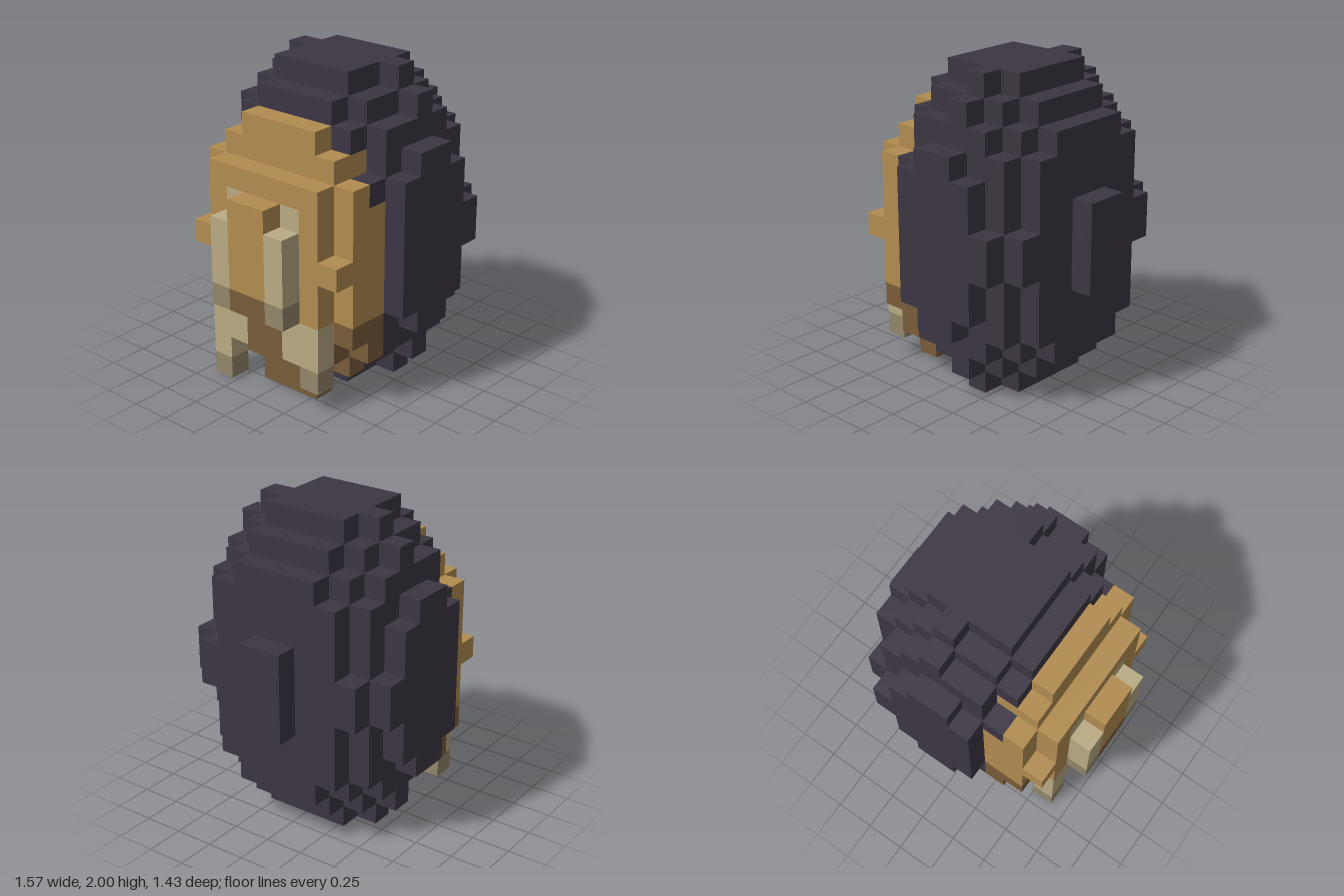
import * as THREE from 'three';

const U = 1 / 7; // one block

export function createModel() {
  const model = new THREE.Group();
  model.name = 'blockHead';
  const mat = (name, color) => {
    const m = new THREE.MeshStandardMaterial({ color });
    m.name = name;
    return m;
  };
  const dark = mat('darkHair', 0x3c3643);
  const tan = mat('tanSkin', 0xb28c50);
  const brown = mat('brownBeard', 0x7a5d3a);
  const khaki = mat('khakiTears', 0xbaab84);
  const dim = mat('dimKhaki', 0x93876a);

  // Box between two corners, measured in blocks
  const box = (name, m, x0, x1, y0, y1, z0, z1) => {
    const g = new THREE.BoxGeometry((x1 - x0) * U, (y1 - y0) * U, (z1 - z0) * U);
    const mesh = new THREE.Mesh(g, m);
    mesh.name = name;
    mesh.position.set((x0 + x1) / 2 * U, (y0 + y1) / 2 * U, (z0 + z1) / 2 * U);
    model.add(mesh);
  };
  // Box centred on z, and a pair mirrored across z
  const mid = (name, m, x0, x1, y0, y1, z) => box(name, m, x0, x1, y0, y1, -z, z);
  const pair = (name, m, x0, x1, y0, y1, z0, z1) => {
    box(name, m, x0, x1, y0, y1, z0, z1);
    box(name, m, x0, x1, y0, y1, -z1, -z0);
  };

  // Stepped round hair shell: [xMin, xMax, half height about y = 7, half depth]
  [
    [-1.5, 2.5, 7, 2], [0.5, 1.5, 7, 3],
    [-1.5, 3.5, 6, 2], [-1.5, 2.5, 6, 3], [0.5, 1.5, 6, 4],
    [-1.5, 4.5, 5, 2], [-1.5, 3.5, 5, 3], [-1.5, 2.5, 5, 4],
    [-1.5, 4.5, 4, 3], [-1.5, 3.5, 4, 4], [-0.5, 1.5, 4, 5],
    [-1.5, 2.5, 3, 5], [-1.5, 4.5, 1, 4], [-1.5, 3.5, 1, 5],
  ].forEach(([x0, x1, h, z]) => mid('hair', dark, x0, x1, 7 - h, 7 + h, z));
  mid('hairBun', dark, 4.5, 5.5, 5, 9, 1);
  mid('fringe', dark, -2.5, -1.5, 12, 13, 2);
  mid('fringe', dark, -2.5, -1.5, 11, 12, 3);
  pair('sideburn', dark, -2.5, -1.5, 9, 10, 3, 4);

  // Face
  mid('forehead', tan, -3.5, -2.5, 11, 12, 2);
  mid('forehead', tan, -3.5, -1.5, 9, 11, 3);
  pair('temple', tan, -3.5, -2.5, 9, 10, 3, 4);
  mid('cheeks', tan, -3.5, -1.5, 4, 9, 4);
  mid('face', tan, -4.5, -3.5, 9, 10, 3);
  mid('face', tan, -4.5, -3.5, 4, 8, 3);
  mid('brow', tan, -4.5, -3.5, 8, 9, 1);
  pair('faceSide', tan, -4.5, -3.5, 8, 9, 2, 3);
  pair('ear', tan, -4.5, -3.5, 6, 7, 3, 4);
  mid('nose', tan, -5.5, -4.5, 5, 9, 1);

  // Beard
  mid('moustache', brown, -5.5, -4.5, 4, 5, 1);
  mid('beard', brown, -3.5, -1.5, 3, 4, 4);
  mid('beard', brown, -3.5, -1.5, 2, 3, 3);
  mid('beard', brown, -3.5, -1.5, 1, 2, 2);
  pair('beard', brown, -2.5, -1.5, 2, 3, 3, 4);
  pair('beard', brown, -2.5, -1.5, 1, 2, 2, 3);
  mid('chin', brown, -4.5, -3.5, 2, 4, 1);
  box('beardTip', brown, -3.5, -2.5, 0, 1, -1, 2);

  // Eyes and the streams hanging below them
  pair('eye', khaki, -4.5, -3.5, 8, 9, 1, 2);
  pair('upperStream', khaki, -5.5, -4.5, 5, 8, 1, 2);
  pair('upperStreamEnd', dim, -5.5, -4.5, 4, 5, 1, 2);
  pair('streamBend', khaki, -4.5, -3.5, 2, 4, 1, 2);
  pair('lowerStream', khaki, -4.5, -3.5, 2, 4, 2, 3);
  box('lowerStream', khaki, -4.5, -3.5, 1, 2, -3, -2);
  box('lowerStreamEnd', dim, -4.5, -3.5, 0, 1, -3, -2);
  box('lowerStreamEnd', dim, -4.5, -3.5, 1, 2, 2, 3);

  return model;
}
